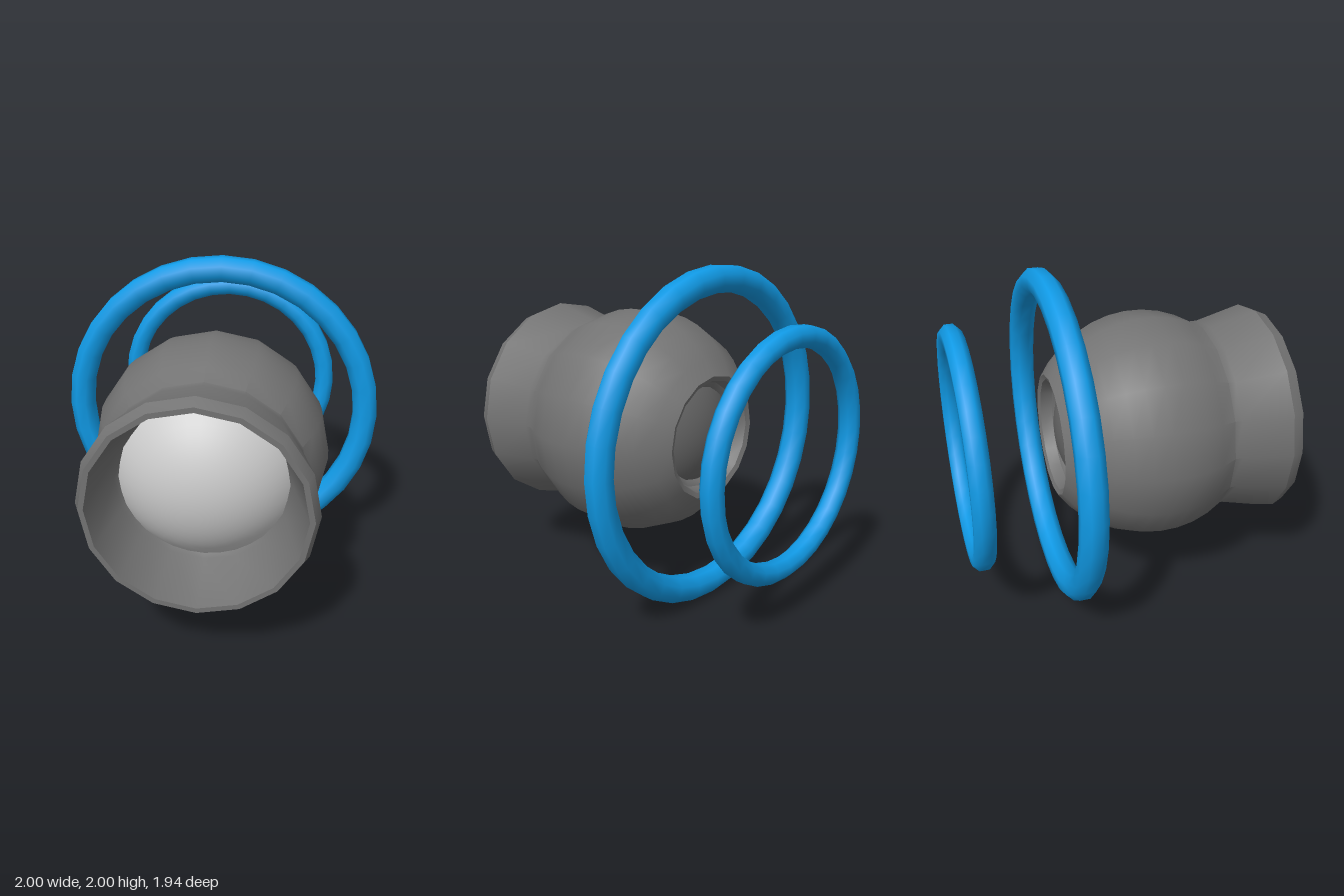
import * as THREE from 'three';
import { toCreasedNormals } from 'three/addons/utils/BufferGeometryUtils.js';

const CENTER_Z = 0.19;

function addMesh(group, name, geometry, color) {
  const mesh = new THREE.Mesh(geometry, new THREE.MeshStandardMaterial({ color }));
  mesh.name = name;
  group.add(mesh);
  return mesh;
}

// Revolves [radius, z] pairs around the z axis
function turned(points, sides, crease) {
  const geometry = new THREE.LatheGeometry(points.map(([r, z]) => new THREE.Vector2(r, z)), sides);
  geometry.rotateX(Math.PI / 2);
  return toCreasedNormals(geometry, crease);
}

// Ring with an octagonal section whose flats face outward
function ring(radius, tube) {
  const section = [];
  const corner = tube / Math.cos(Math.PI / 8);
  for (let i = 0; i <= 8; i++) {
    const a = (i + 0.5) * Math.PI / 4;
    section.push([radius + corner * Math.cos(a), corner * Math.sin(a)]);
  }
  return turned(section, 32, 0.9);
}

// Part of a ball around the z axis, angles measured from +z
function cap(radius, start, length) {
  const geometry = new THREE.SphereGeometry(radius, 32, 10, 0, Math.PI * 2, start, length);
  geometry.rotateX(Math.PI / 2);
  geometry.translate(0, 0, CENTER_Z);
  return geometry;
}

export function createModel() {
  const model = new THREE.Group();
  model.name = 'ringedPod';

  // Shell: rear socket, round hull, flared muzzle and its inner wall
  const profile = [[0.27, -0.26], [0.3, -0.3], [0.32, -0.31], [0.34, -0.38]];
  const start = Math.asin(0.37 / 0.69), end = Math.PI - Math.asin(0.58 / 0.69);
  for (let i = 0; i <= 10; i++) {
    const a = start + (end - start) * i / 10;
    profile.push([0.69 * Math.sin(a), CENTER_Z - 0.69 * Math.cos(a)]);
  }
  profile.push([0.58, 0.61], [0.65, 0.9], [0.62, 0.97], [0.59, 0.97], [0.5, 0.63], [0.475, 0.59]);
  const shell = addMesh(model, 'shell', turned(profile, 16, 0.6), 0x737373);
  shell.position.y = 1;

  // Domes filling the front and rear openings
  addMesh(model, 'frontDome', cap(0.63, 0, 0.95), 0xcccccc).position.y = 1;
  addMesh(model, 'rearDome', cap(0.55, Math.PI - 0.6, 0.6), 0x666666).position.y = 1;

  // Floating rings behind the hull
  addMesh(model, 'largeRing', ring(0.925, 0.075), 0x109ae6).position.set(0, 1, -0.38);
  addMesh(model, 'smallRing', ring(0.668, 0.06), 0x109ae6).position.set(0, 1, -0.91);

  return model;
}
